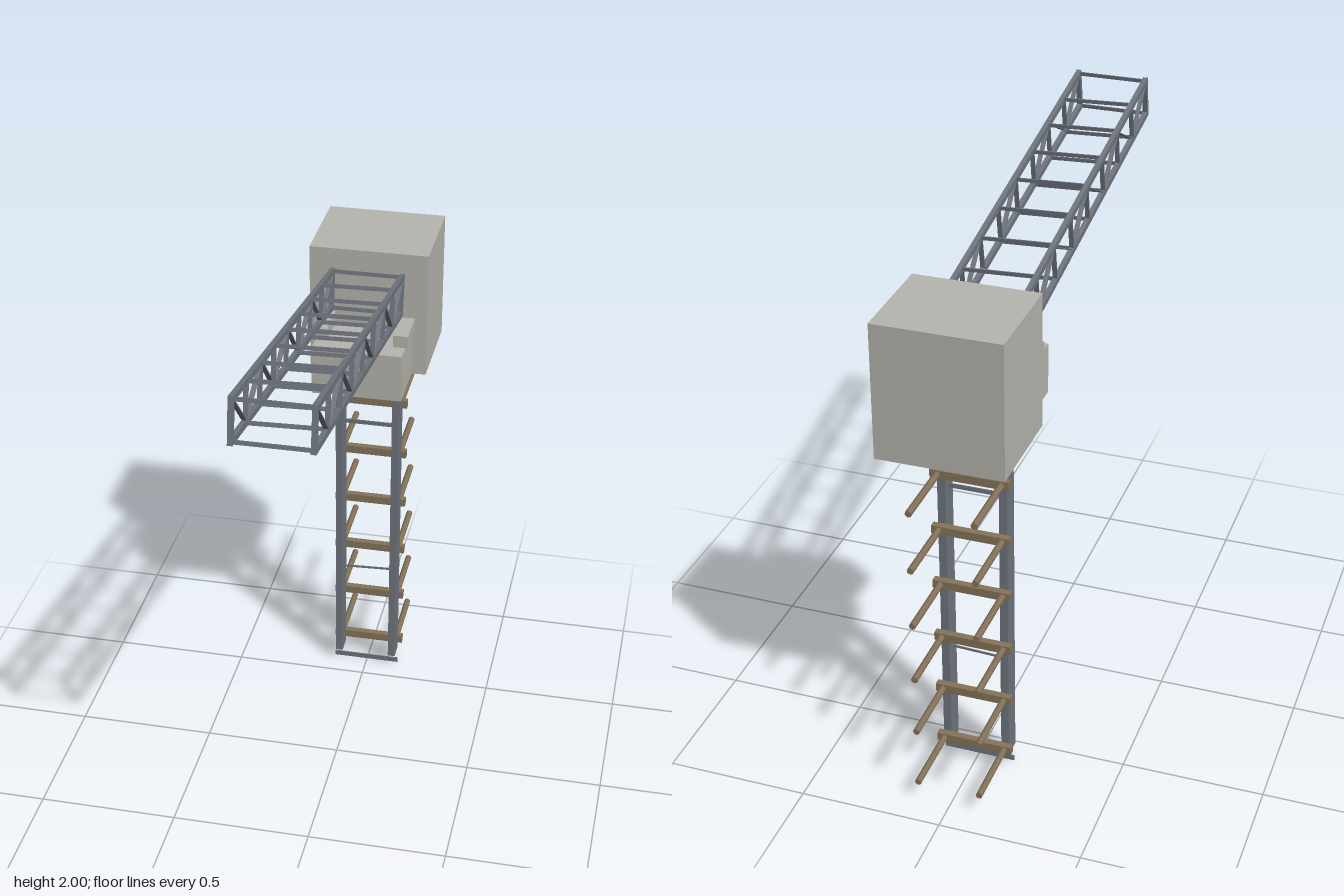
import * as THREE from 'three';

const material = (name, color) => {
  const m = new THREE.MeshStandardMaterial({ color });
  m.name = name;
  return m;
};

export function createModel() {
  const model = new THREE.Group();
  model.name = 'latticeCrane';
  const concrete = material('pale grey', 0xb7b5ae);
  const steel = material('steel grey', 0x70757e);
  const wood = material('brown', 0x86745a);

  // Box from its min and max corners
  function block(parent, name, mat, [x0, y0, z0], [x1, y1, z1]) {
    const mesh = new THREE.Mesh(new THREE.BoxGeometry(x1 - x0, y1 - y0, z1 - z0), mat);
    mesh.position.set((x0 + x1) / 2, (y0 + y1) / 2, (z0 + z1) / 2);
    mesh.name = name;
    parent.add(mesh);
  }

  // Flat bar running between two points
  function strut(parent, name, a, b, width, height) {
    const from = new THREE.Vector3(...a), to = new THREE.Vector3(...b);
    const mesh = new THREE.Mesh(new THREE.BoxGeometry(width, height, from.distanceTo(to)), steel);
    mesh.position.copy(from).lerp(to, 0.5);
    mesh.lookAt(to);
    mesh.name = name;
    parent.add(mesh);
  }

  // Machine house, front cabin and the two boom seats
  block(model, 'house', concrete, [-0.215, 1.35, -0.91], [0.215, 1.82, -0.552]);
  block(model, 'cabin', concrete, [-0.163, 1.35, -0.552], [0.163, 1.528, -0.335]);
  block(model, 'rightSeat', concrete, [-0.173, 1.525, -0.552], [-0.12, 1.573, -0.405]);
  block(model, 'leftSeat', concrete, [0.118, 1.525, -0.552], [0.171, 1.573, -0.405]);

  // Mast: two legs tied by thin plates
  const mast = new THREE.Group();
  mast.name = 'mast';
  model.add(mast);
  block(mast, 'rightLeg', steel, [-0.123, 0.05, -0.635], [-0.095, 1.35, -0.567]);
  block(mast, 'leftLeg', steel, [0.09, 0.05, -0.635], [0.118, 1.35, -0.567]);
  block(mast, 'basePlate', steel, [-0.13, 0, -0.602], [0.125, 0.02, -0.598]);
  block(mast, 'tiePlate', steel, [-0.1, 1.088, -0.602], [0.095, 1.104, -0.598]);
  for (const y of [0.443, 1.313]) strut(mast, 'thinTie', [-0.1, y - 0.004, -0.6], [0.095, y + 0.004, -0.6], 0.004, 0.008);

  // Rungs with a pair of rods reaching back
  for (let i = 0; i < 6; i++) {
    const y = 0.085 + i * 0.2165;
    block(model, 'rung', wood, [-0.138, y - 0.015, -0.66], [0.134, y + 0.015, -0.635]);
    for (const x of [-0.112, 0.108]) {
      const rod = new THREE.Mesh(new THREE.CylinderGeometry(0.012, 0.012, 0.26, 8), wood);
      rod.rotation.x = Math.PI / 2;
      rod.position.set(x, y, -0.78);
      rod.name = 'rearRod';
      model.add(rod);
    }
  }

  // Boom, built level along z and then tilted up
  const boom = new THREE.Group();
  boom.name = 'boom';
  boom.position.set(-0.003, 1.7975, 0.181);
  boom.rotation.x = -0.176;
  model.add(boom);
  const half = 0.728, top = 0.067, side = 0.126, bays = 8;
  for (const x of [-side, side]) {
    for (const y of [-top, top]) {
      block(boom, 'chord', steel, [x - 0.0085, y - 0.01, -half], [x + 0.0085, y + 0.01, half]);
    }
    for (const z of [-half + 0.009, half - 0.009]) {
      block(boom, 'endPost', steel, [x - 0.0085, -top, z - 0.009], [x + 0.0085, top, z + 0.009]);
    }
  }

  // Side posts, zigzag braces and cross ties at each bay
  for (let i = 0; i <= bays; i++) {
    const z = -half + 0.01 + (i * (2 * half - 0.02)) / bays;
    const next = z + (2 * half - 0.02) / bays;
    const s = i % 2 ? -1 : 1;
    for (const x of [-side, side]) {
      if (i > 0 && i < bays) strut(boom, 'sidePost', [x, -top, z], [x, top, z], 0.016, 0.004);
      if (i < bays) strut(boom, 'sideBrace', [x, s * top, z], [x, -s * top, next], 0.016, 0.004);
    }
    const skew = i > 0 && i < bays ? 0.009 : 0;
    for (const y of [-top, top]) {
      strut(boom, 'crossTie', [-side, y, z + skew], [side, y, z - skew], 0.004, 0.014);
    }
  }
  return model;
}
